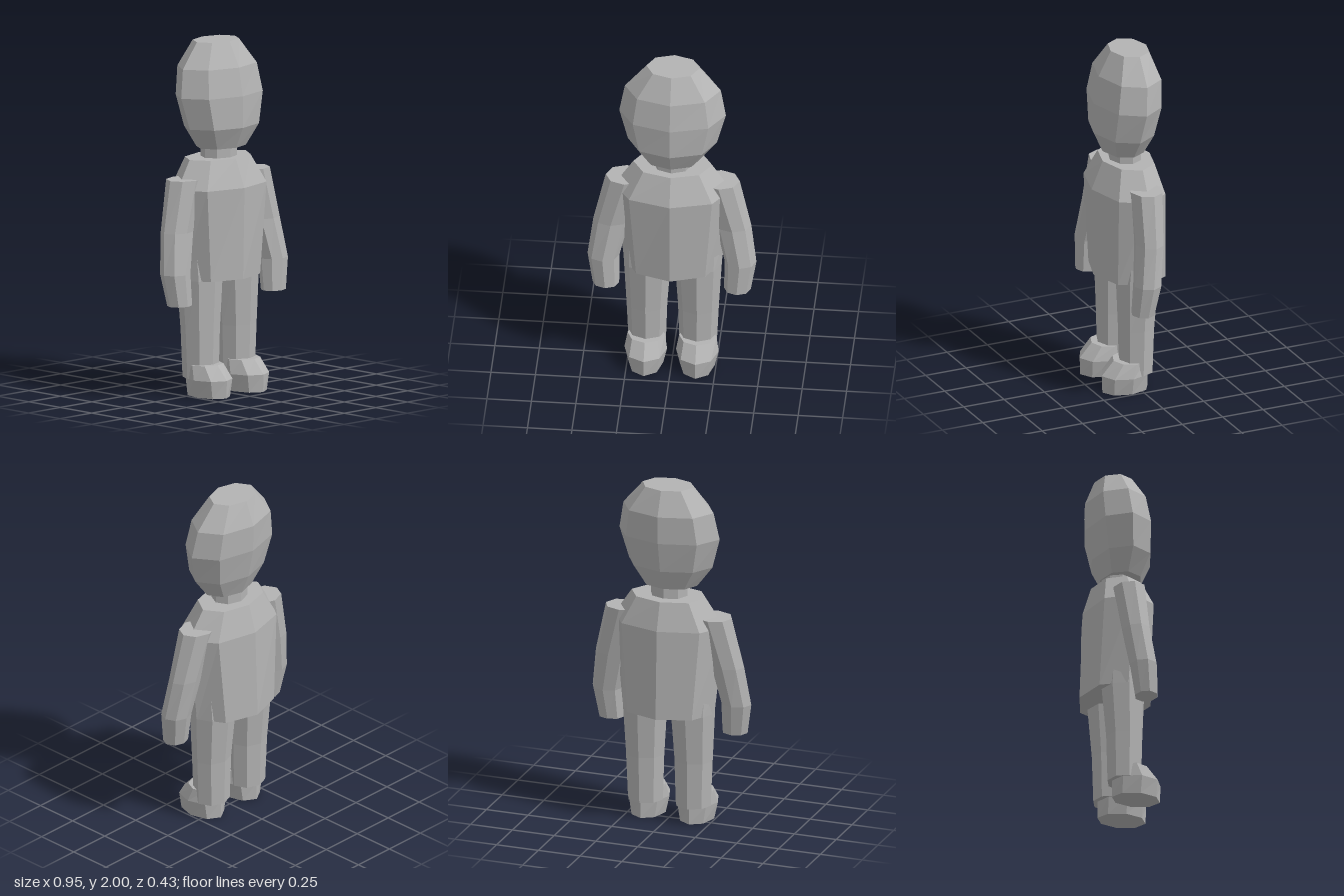
import * as THREE from 'three';

const SIDES = 8;

// Lofts octagonal rings, listed bottom to top as [y, centreX, centreZ, radiusX, radiusZ], with flat caps.
function loft(rings) {
  const point = ([y, cx, cz, rx, rz], k) => {
    const t = (k / SIDES) * Math.PI * 2;
    return [cx + rx * Math.cos(t), y, cz + rz * Math.sin(t)];
  };
  const pos = [];
  const tri = (a, b, c) => pos.push(...a, ...b, ...c);
  for (let i = 0; i < rings.length - 1; i++) {
    for (let k = 0; k < SIDES; k++) {
      const a = point(rings[i], k), b = point(rings[i], k + 1);
      const c = point(rings[i + 1], k), d = point(rings[i + 1], k + 1);
      tri(a, c, b);
      tri(b, c, d);
    }
  }
  const bottom = rings[0], top = rings[rings.length - 1];
  for (let k = 1; k < SIDES - 1; k++) {
    tri(point(bottom, 0), point(bottom, k), point(bottom, k + 1));
    tri(point(top, 0), point(top, k + 1), point(top, k));
  }
  const geometry = new THREE.BufferGeometry();
  geometry.setAttribute('position', new THREE.Float32BufferAttribute(pos, 3));
  geometry.computeVertexNormals();
  return geometry;
}

export function createModel() {
  const model = new THREE.Group();
  model.name = 'figure';
  const grey = new THREE.MeshStandardMaterial({ color: 0xb3b3b3, flatShading: true });
  grey.name = 'plain grey';

  const add = (name, rings) => {
    const mesh = new THREE.Mesh(loft(rings), grey);
    mesh.name = name;
    model.add(mesh);
  };
  // Adds a part on the left and its mirror on the right.
  const addPair = (name, rings) => {
    add('left' + name, rings);
    add('right' + name, rings.map(([y, cx, ...rest]) => [y, -cx, ...rest]));
  };

  // Head, neck and torso
  add('head', [
    [1.40, 0, 0.022, 0.16, 0.118],
    [1.52, 0, 0.025, 0.25, 0.17],
    [1.70, 0, 0.007, 0.30, 0.188],
    [1.86, 0, -0.01, 0.27, 0.175],
    [2.00, 0, -0.02, 0.15, 0.11],
  ]);
  add('neck', [
    [1.32, 0, 0.003, 0.11, 0.092],
    [1.42, 0, 0.003, 0.11, 0.092],
  ]);
  add('torso', [
    [0.66, 0, -0.01, 0.275, 0.207],
    [1.18, 0, 0.005, 0.33, 0.203],
    [1.34, 0, -0.005, 0.222, 0.145],
  ]);

  // Arms, bowed outward and swinging slightly forward
  addPair('Arm', [
    [0.54, 0.37, 0.065, 0.075, 0.065],
    [0.72, 0.385, 0.045, 0.09, 0.08],
    [0.95, 0.342, 0.015, 0.102, 0.08],
    [1.24, 0.265, -0.003, 0.112, 0.093],
  ]);

  // Legs
  addPair('Leg', [
    [0.10, 0.143, 0.003, 0.105, 0.098],
    [0.37, 0.145, 0.002, 0.115, 0.105],
    [0.66, 0.143, -0.005, 0.133, 0.124],
    [0.80, 0.143, -0.007, 0.138, 0.112],
  ]);

  // Shoes
  addPair('Shoe', [
    [0.00, 0.145, 0.07, 0.098, 0.14],
    [0.10, 0.145, 0.072, 0.12, 0.142],
    [0.18, 0.145, 0.045, 0.105, 0.095],
  ]);

  return model;
}
